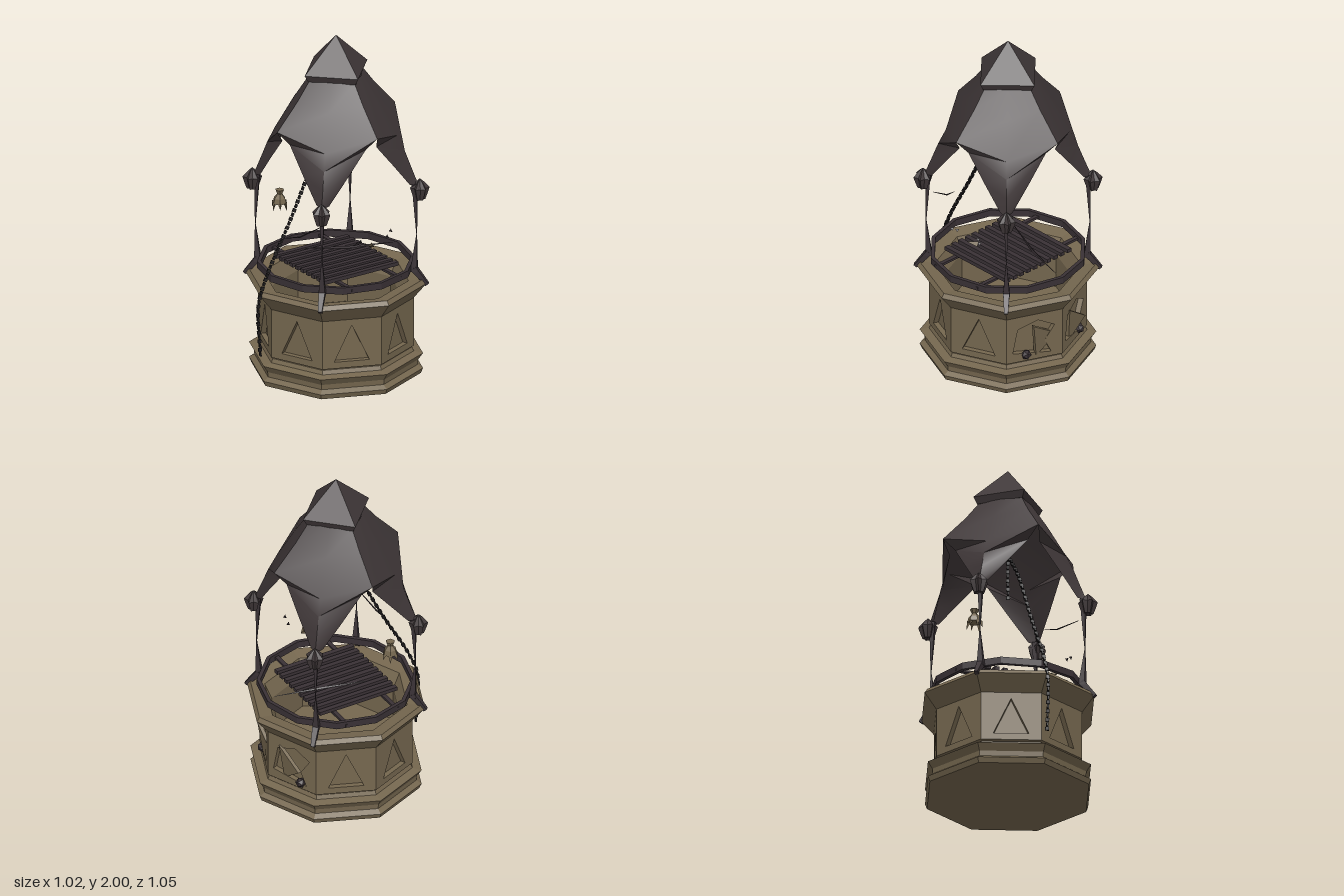
import * as THREE from 'three';
import { toCreasedNormals } from 'three/addons/utils/BufferGeometryUtils.js';

const mat = (name, color, extra = {}) => Object.assign(new THREE.MeshStandardMaterial({ color, ...extra }), { name });

export function createModel() {
  const stone = mat('weathered stone', 0x75674f, { flatShading: true });
  const cloth = mat('dark cloth', 0x3f3738, { side: THREE.DoubleSide });
  const iron = mat('dark iron', 0x393135, { flatShading: true });
  const chainMat = mat('black chain', 0x1d1b1c, { flatShading: true });
  const model = new THREE.Group();
  const well = new THREE.Group();
  well.name = 'well';
  well.position.z = -0.015;
  model.add(well);

  const V = (x, y, z) => new THREE.Vector3(x, y, z);
  const add = (name, geo, material, parent = well) => {
    const m = new THREE.Mesh(geo, material);
    m.name = name;
    parent.add(m);
    return m;
  };
  const lathe = (pts, sides) => new THREE.LatheGeometry(pts.map(p => new THREE.Vector2(...p)), sides);
  const rod = (name, a, b, ra, rb, sides, material, parent = well) => {
    const d = b.clone().sub(a);
    const m = add(name, new THREE.CylinderGeometry(rb, ra, d.length(), sides), material, parent);
    m.position.copy(a).lerp(b, 0.5);
    m.quaternion.setFromUnitVectors(V(0, 1, 0), d.normalize());
    return m;
  };

  // Octagonal plinth, and the basin with its flared rim and hollow inside
  add('plinth', lathe([[0, 0], [0.48, 0], [0.492, 0.03], [0.462, 0.05], [0.465, 0.08], [0.492, 0.12],
    [0.44, 0.13], [0.43, 0.153], [0.2, 0.156], [0.2, 0.162]], 8), stone);
  add('basin', lathe([[0.2, 0.162], [0.405, 0.162], [0.405, 0.44], [0.44, 0.45], [0.512, 0.54], [0.495, 0.565],
    [0.41, 0.55], [0.37, 0.46], [0.37, 0.25], [0, 0.25]], 8), stone);

  // Wall panels with triangular recesses; the two at the back are broken
  const half = 0.44 * Math.sin(Math.PI / 8), apothem = 0.44 * Math.cos(Math.PI / 8);
  const poly = pts => pts.map(p => new THREE.Vector2(...p));
  const whole = [[-0.1, 0.2], [0, 0.415], [0.1, 0.2]];
  const broken = [[-0.13, 0.22], [-0.1, 0.37], [0.02, 0.41], [0.12, 0.36], [0.06, 0.27], [0.1, 0.19]];
  for (let i = 0; i < 8; i++) {
    const isBroken = i === 3 || i === 4;
    const side = new THREE.Group();
    side.name = 'wallSide';
    side.rotation.y = Math.PI / 8 + i * Math.PI / 4;
    well.add(side);
    const shape = new THREE.Shape(poly([[-half, 0.162], [half, 0.162], [half, 0.452], [-half, 0.452]]));
    shape.holes.push(new THREE.Path(poly(isBroken ? broken : whole)));
    const panel = add('wallPanel', new THREE.ExtrudeGeometry(shape, { depth: 0.03, bevelEnabled: false }), stone, side);
    panel.position.z = apothem - 0.03;
    if (isBroken) {
      const slab = new THREE.Shape(poly([[-0.08, -0.09], [0.09, -0.06], [0, 0.11]]));
      const s = add('brokenSlab', new THREE.ExtrudeGeometry(slab, { depth: 0.02, bevelEnabled: false }), stone, side);
      s.position.set(i === 3 ? 0.03 : -0.03, 0.3, apothem - 0.01);
      s.rotation.set(0.12, i === 3 ? 0.25 : -0.25, 0.5);
      const r = add('rubble', new THREE.IcosahedronGeometry(0.03), iron, side);
      r.position.set(i === 3 ? -0.05 : 0.06, 0.2, apothem);
    }
  }

  // Iron hoop and the grate inside it
  add('hoop', lathe([[0.42, 0.615], [0.442, 0.615], [0.442, 0.655], [0.42, 0.655], [0.42, 0.615]], 12), iron);
  for (let i = 0; i < 10; i++) {
    const bar = add('grateBar', new THREE.BoxGeometry(0.03, 0.022, 0.5), iron);
    bar.position.set(-0.235 + i * 0.0522, 0.648, 0);
  }
  for (const z of [-0.16, 0.16]) {
    add('grateCrossbar', new THREE.BoxGeometry(0.8, 0.014, 0.025), iron).position.set(0, 0.632, z);
  }

  // One drape of the canopy: each row gives its front edge and its corner ridge
  const rows = [
    [[0, 1.765, 0.18], [0.1, 1.765, 0.1]],
    [[0, 1.66, 0.26], [0.165, 1.62, 0.165]],
    [[0, 1.505, 0.4], [0.245, 1.42, 0.245]],
    [[0.035, 1.43, 0.34], [0.275, 1.33, 0.275]],
    [[0.16, 1.28, 0.335], [0.302, 1.23, 0.302]],
    [[0.275, 1.14, 0.325], [0.33, 1.13, 0.33]],
  ];
  const pos = [], idx = [];
  rows.forEach(([e, m], r) => {
    pos.push(...e, ...m, e[2], e[1], e[0]);
    if (r) for (let c = 0; c < 2; c++) {
      const a = (r - 1) * 3 + c, b = a + 3;
      idx.push(a, b, a + 1, a + 1, b, b + 1);
    }
  });
  const indexed = new THREE.BufferGeometry();
  indexed.setAttribute('position', new THREE.Float32BufferAttribute(pos, 3));
  indexed.setIndex(idx);
  const drape = toCreasedNormals(indexed, 0.7);

  // Gathered cloth knot with pleats
  const knot = lathe([[0, 1.17], [0.022, 1.15], [0.05, 1.115], [0.04, 1.08], [0.028, 1.045], [0, 1.06]], 12);
  const kp = knot.attributes.position;
  for (let i = 0; i < kp.count; i++) {
    const pleat = Math.floor(i / 6) % 2 ? 0.72 : 1.1;
    kp.setX(i, kp.getX(i) * pleat);
    kp.setZ(i, kp.getZ(i) * pleat);
  }
  const knotGeo = toCreasedNormals(knot, 0.4);

  // Four corners: drape, knot, and a post pinched to a point halfway
  for (let i = 0; i < 4; i++) {
    const corner = new THREE.Group();
    corner.name = 'corner';
    corner.rotation.y = i * Math.PI / 2;
    well.add(corner);
    add('canopyDrape', drape, cloth, corner);
    add('clothKnot', knotGeo, cloth, corner).position.set(0.335, 0, 0.335);
    rod('postTop', V(0.323, 0.82, 0.323), V(0.315, 1.14, 0.315), 0.002, 0.022, 4, iron, corner);
    rod('postBottom', V(0.312, 0.61, 0.312), V(0.323, 0.84, 0.323), 0.027, 0.002, 4, iron, corner);
    rod('postFoot', V(0.365, 0.535, 0.365), V(0.31, 0.63, 0.31), 0.016, 0.026, 4, iron, corner);
  }

  // Pointed cap over a short neck
  const cap = lathe([[0, 1.76], [0.19, 1.76], [0.213, 1.8], [0, 2]], 4);
  add('cap', toCreasedNormals(cap, 0.4), cloth);
  add('neck', new THREE.CylinderGeometry(0.13, 0.14, 0.07, 8), stone).position.y = 1.74;

  // Chains as strings of alternating links
  const chain = (name, points, count) => {
    const g = new THREE.Group();
    g.name = name;
    model.add(g);
    const curve = new THREE.CatmullRomCurve3(points.map(p => V(...p)));
    const link = new THREE.BoxGeometry(0.02, 0.021, 0.01);
    for (let i = 0; i < count; i++) {
      const m = add('chainLink', link, chainMat, g);
      m.position.copy(curve.getPointAt(i / (count - 1)));
      m.quaternion.setFromUnitVectors(V(0, 1, 0), curve.getTangentAt(i / (count - 1)));
      m.rotateY(i % 2 ? 0.3 : Math.PI / 2 + 0.3);
    }
  };
  chain('longChain', [[0, 1.46, 0], [0, 1.3, 0.12], [0, 0.95, 0.3], [0, 0.66, 0.455], [0, 0.5, 0.512], [0, 0.2, 0.5]], 54);
  chain('shortChain', [[0, 1.46, -0.015], [0, 1.34, -0.018], [0, 1.22, -0.015]], 10);

  // Small hanging pouch with a ragged hem
  const pouch = new THREE.Group();
  pouch.name = 'pouch';
  pouch.position.set(-0.29, 0, 0.165);
  model.add(pouch);
  add('pouchBody', lathe([[0, 0.93], [0.042, 0.935], [0.034, 0.965], [0.014, 0.99], [0.026, 1.015], [0, 1.01]], 6), stone, pouch);
  for (let i = 0; i < 6; i++) {
    const a = i * Math.PI / 3, s = Math.sin(a), c = Math.cos(a);
    rod('raggedHem', V(s * 0.034, 0.94, c * 0.034), V(s * 0.045, 0.895 + 0.012 * (i % 2), c * 0.045), 0.012, 0.001, 3, stone, pouch);
  }

  // Loose slivers and scraps
  rod('sliver', V(0.05, 0.88, 0.36), V(0.14, 0.91, 0.33), 0.001, 0.005, 3, iron, model);
  rod('sliver', V(0.14, 0.91, 0.33), V(0.3, 1.02, 0.27), 0.005, 0.002, 3, iron, model);
  rod('fallenSliver', V(-0.15, 0.69, 0.09), V(-0.06, 0.672, -0.15), 0.002, 0.008, 3, iron, model);
  rod('fallenSliver', V(-0.06, 0.672, -0.15), V(0.01, 0.665, -0.41), 0.008, 0.001, 3, iron, model);
  rod('stoneScrap', V(0.28, 0.815, -0.06), V(0.33, 0.84, -0.03), 0.018, 0.001, 3, stone, model);
  for (const [x, y, z] of [[0.35, 0.91, -0.14], [0.34, 0.88, 0.08], [0.33, 0.87, -0.13], [0.33, 0.88, 0.05]]) {
    add('scrap', new THREE.TetrahedronGeometry(0.013), iron, model).position.set(x, y, z);
  }
  return model;
}
